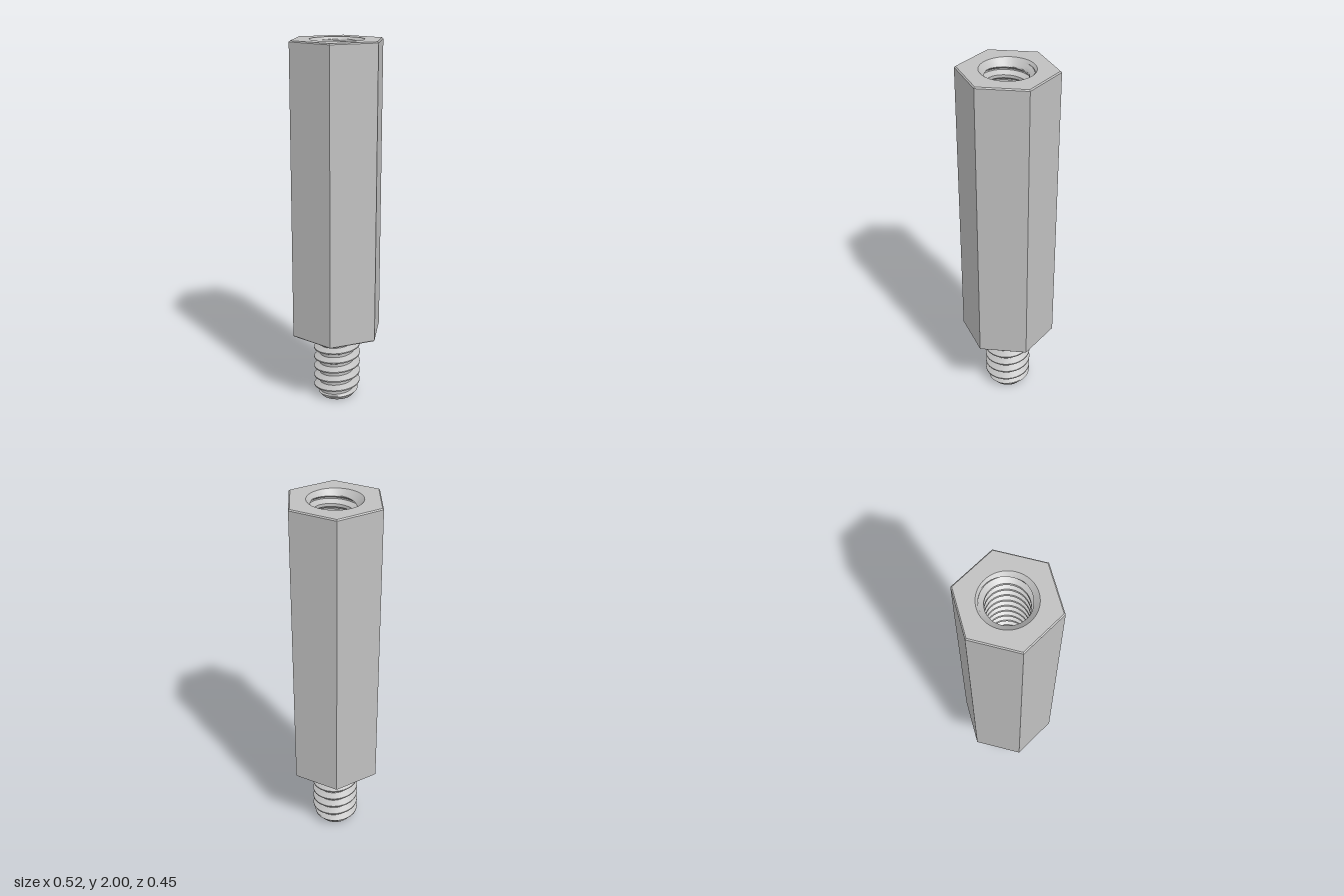
import * as THREE from 'three';
import { toCreasedNormals } from 'three/addons/utils/BufferGeometryUtils.js';

const TOP = 2, BASE = 0.39, FLOOR = 1.2; // body ends and floor of the threaded hole
const PITCH = 0.057, STEPS = 72;

// Radius of a 60-degree thread at a turn fraction: root flat, flank, crest flat, flank
const KNOTS = [0, 0.2, 0.5, 0.62, 0.92];
function threadRadius(turn, minor, major) {
  const f = turn - Math.floor(turn);
  let t;
  if (f < 0.2) t = 0;
  else if (f < 0.5) t = (f - 0.2) / 0.3;
  else if (f < 0.62) t = 1;
  else if (f < 0.92) t = 1 - (f - 0.62) / 0.3;
  else t = 0;
  return minor + (major - minor) * t;
}

// Right-handed helical surface between y0 and y1; limit(r, y) trims it at the chamfer
function threadGeometry(y0, y1, minor, major, limit, inward) {
  const rows = [];
  const turns = Math.ceil((y1 - y0) / PITCH) + 1;
  for (let k = -1; k < turns; k++) {
    KNOTS.forEach((a, i) => {
      const b = i < 4 ? KNOTS[i + 1] : 1;
      for (let s = 0; s < 3; s++) rows.push(k + a + (b - a) * s / 3);
    });
  }
  const point = (row, j) => {
    const angle = j / STEPS * Math.PI * 2;
    const y = THREE.MathUtils.clamp(y0 + PITCH * (row + j / STEPS), y0, y1);
    const turn = (y - y0) / PITCH - j / STEPS + 1e-7;
    const r = limit(threadRadius(turn, minor, major), y);
    return new THREE.Vector3(r * Math.cos(angle), y, -r * Math.sin(angle));
  };
  const pos = [];
  const tri = (a, b, c) => {
    const area = b.clone().sub(a).cross(c.clone().sub(a)).length();
    if (area < 1e-9) return;
    for (const p of inward ? [a, c, b] : [a, b, c]) pos.push(p.x, p.y, p.z);
  };
  for (let i = 0; i < rows.length - 1; i++) {
    for (let j = 0; j < STEPS; j++) {
      const a = point(rows[i], j), b = point(rows[i], j + 1);
      const c = point(rows[i + 1], j), d = point(rows[i + 1], j + 1);
      tri(a, b, c);
      tri(b, d, c);
    }
  }
  const geo = new THREE.BufferGeometry();
  geo.setAttribute('position', new THREE.Float32BufferAttribute(pos, 3));
  return toCreasedNormals(geo, 0.5);
}

export function createModel() {
  const group = new THREE.Group();
  const steel = new THREE.MeshStandardMaterial({ color: 0xc0c0c0 });
  steel.name = 'steel grey';
  const add = (name, geo) => {
    const mesh = new THREE.Mesh(geo, steel);
    mesh.name = name;
    group.add(mesh);
    return mesh;
  };

  // Hexagonal body with small chamfers and a flat underside
  const profile = [
    [0, BASE], [0.253, BASE], [0.26, BASE + 0.006], [0.26, TOP - 0.006], [0.253, TOP],
  ].map(([x, y]) => new THREE.Vector2(x, y));
  const hex = new THREE.LatheGeometry(profile, 6, Math.PI / 2).toNonIndexed();
  hex.computeVertexNormals();
  add('hexBody', hex);

  // Top face around the countersunk hole
  const face = new THREE.Shape();
  for (let i = 0; i < 6; i++) {
    const a = i * Math.PI / 3;
    face[i ? 'lineTo' : 'moveTo'](0.253 * Math.cos(a), 0.253 * Math.sin(a));
  }
  face.closePath();
  face.holes.push(new THREE.Path().absarc(0, 0, 0.142, 0, Math.PI * 2, true));
  const topFace = add('topFace', new THREE.ShapeGeometry(face, 36));
  topFace.rotation.x = -Math.PI / 2;
  topFace.position.y = TOP;

  // Threaded hole with countersink, closed by a flat floor
  add('threadedHole', threadGeometry(FLOOR, TOP, 0.105, 0.13,
    (r, y) => Math.max(r, 0.142 - (TOP - y)), true));
  const floor = add('holeFloor', new THREE.CircleGeometry(0.131, STEPS));
  floor.rotation.x = -Math.PI / 2;
  floor.position.y = FLOOR;

  // Threaded stud with chamfered tip
  add('threadedStud', threadGeometry(0, BASE, 0.097, 0.13,
    (r, y) => Math.min(r, 0.092 + y * 0.8), false));
  const tip = add('studTip', new THREE.CircleGeometry(0.092, STEPS));
  tip.rotation.x = Math.PI / 2;

  return group;
}
